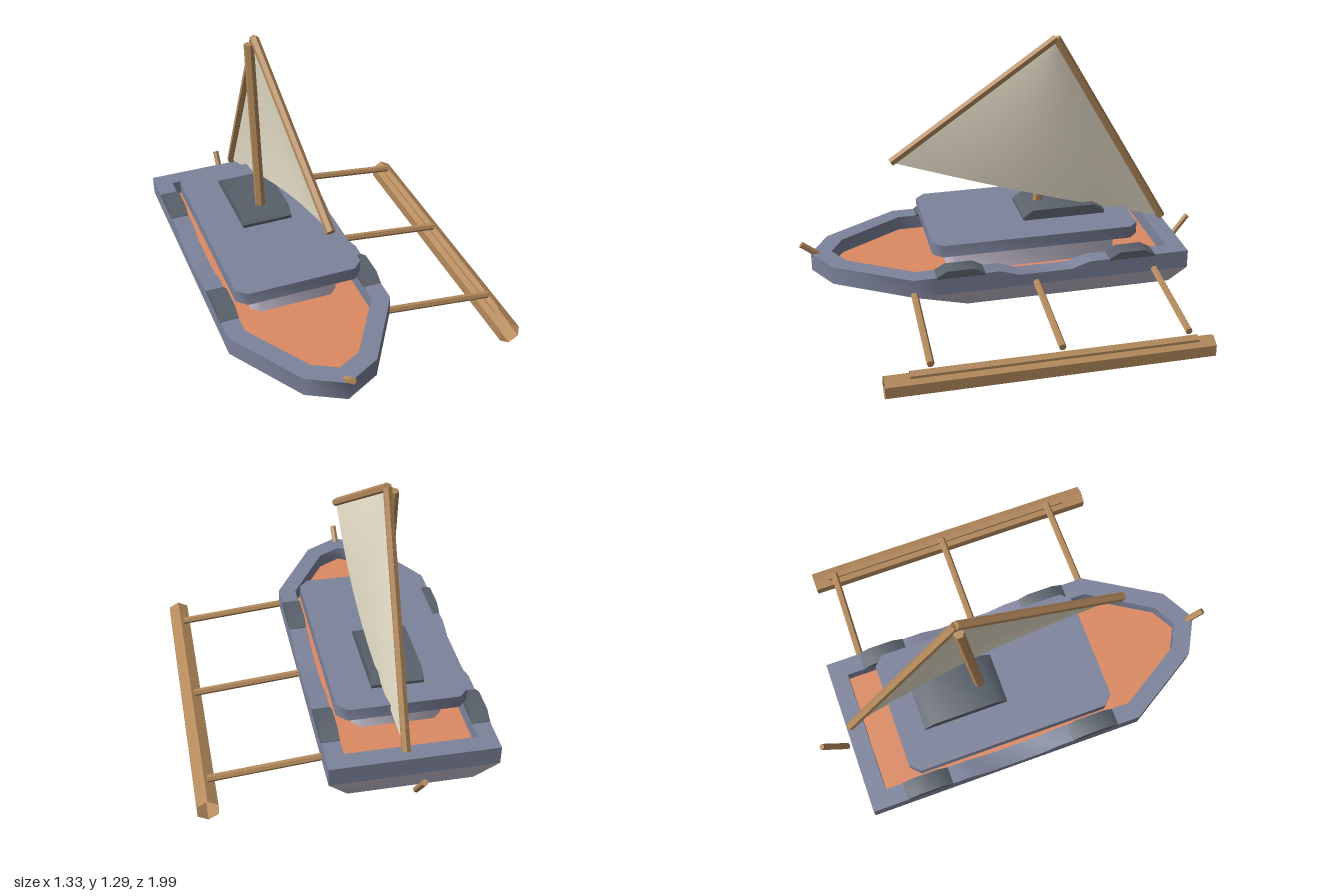
import * as THREE from 'three';
import { toCreasedNormals } from 'three/addons/utils/BufferGeometryUtils.js';

const mat = (name, color, extra = {}) => {
  const m = new THREE.MeshStandardMaterial({ color, ...extra });
  m.name = name;
  return m;
};

export function createModel() {
  const model = new THREE.Group();
  const CX = -0.284; // centre line of the boat
  const blue = mat('slate blue paint', 0x7d839b);
  const dark = mat('dark slate', 0x5a616b);
  const lavender = mat('pale lavender', 0xccc5d7);
  const orange = mat('orange deck', 0xdc8a62);
  const wood = mat('wood', 0xb48a5c, { flatShading: true, side: THREE.DoubleSide });
  const canvas = mat('sail canvas', 0xebe3cd, { side: THREE.DoubleSide });

  const add = (name, geo, material, x = 0) => {
    const mesh = new THREE.Mesh(geo, material);
    mesh.name = name;
    mesh.position.x = x;
    model.add(mesh);
    return mesh;
  };

  // Skin between successive closed loops of [x, y, z] points, soft around the bow
  const loft = (loops) => {
    const pos = [];
    for (let k = 0; k + 1 < loops.length; k++) {
      const lo = loops[k], hi = loops[k + 1], n = lo.length;
      for (let i = 0; i < n; i++) {
        const j = (i + 1) % n;
        pos.push(...lo[i], ...hi[i], ...hi[j], ...lo[i], ...hi[j], ...lo[j]);
      }
    }
    const g = new THREE.BufferGeometry();
    g.setAttribute('position', new THREE.Float32BufferAttribute(pos, 3));
    return toCreasedNormals(g, 1.05);
  };

  // Boat plan: one side from stern to bow, then mirrored back to the stern
  const mirror = (side) => [
    ...side,
    ...side.slice(0, -1).reverse().map(([x, y, z]) => [-x, y, z]),
  ];
  // Gunwale heights along the straight side: [z, y]
  const sheer = [[-0.68, 0.27], [-0.45, 0.27], [-0.35, 0.27], [-0.26, 0.24], [0, 0.24], [0.085, 0.27], [0.385, 0.27]];
  const plan = (hw, stern, shoulder, cheekX, cheekZ, bow) => mirror([
    [hw, 0.27, stern],
    ...sheer.map(([z, y]) => [hw, y, z]),
    [hw, 0.27, shoulder], [cheekX, 0.27, cheekZ], [0, 0.27, bow],
  ]);
  const outer = plan(0.382, -0.845, 0.5, 0.165, 0.855, 0.945);
  const inner = plan(0.299, -0.76, 0.48, 0.11, 0.785, 0.845);
  const atY = (loop, y) => loop.map(([x, , z]) => [x, y, z]);
  const flatX = (loop) => loop.map(([, y, z]) => [0, y, z]);

  // Lower hull, tapering to a flat bottom
  const level = (hw, y, stern, bow) => outer.map(([x, , z]) =>
    [x * hw / 0.382, y, stern + (z + 0.845) / 1.79 * (bow - stern)]);
  const bottom = level(0.175, 0, -0.72, 0.39);
  add('lowerHull', loft([flatX(bottom), bottom, level(0.287, 0.06, -0.79, 0.57), level(0.382, 0.18, -0.845, 0.945)]), lavender, CX);

  // Bulwark band with its rim and inner wall, and the deck inside it
  add('bulwark', loft([atY(outer, 0.18), outer, inner, atY(inner, 0.2)]), blue, CX);
  add('deck', loft([atY(inner, 0.2), flatX(atY(inner, 0.2))]), orange, CX);

  // Straight extrusion with soft shading over shallow bends
  const extrude = (pts, depth) => toCreasedNormals(new THREE.ExtrudeGeometry(
    new THREE.Shape(pts.map(p => new THREE.Vector2(...p))), { depth, bevelEnabled: false }), 0.9);

  // Block with a side profile in (z, y) and a width along x
  const profileBlock = (pts, width) =>
    extrude(pts, width).rotateY(-Math.PI / 2).translate(width / 2, 0, 0);
  for (const side of [-1, 1]) {
    for (const [back, front] of [[-0.675, -0.45], [0.16, 0.39]]) {
      add('gunwalePad', profileBlock([[back, 0.262], [front, 0.262], [front, 0.272],
        [front - 0.05, 0.3], [back + 0.05, 0.3], [back, 0.272]], 0.084), dark, CX + side * 0.341);
    }
  }

  // Slab with cut corners
  const slab = (hw, z0, z1, y0, y1, c) => extrude([
    [hw, z0 + c], [hw, z1 - c], [hw - c, z1], [c - hw, z1],
    [-hw, z1 - c], [-hw, z0 + c], [c - hw, z0], [hw - c, z0],
  ], y1 - y0).rotateX(Math.PI / 2).translate(0, y1, 0);
  add('cabinWalls', slab(0.21, -0.53, 0.305, 0.19, 0.335, 0.04), lavender, CX);
  add('cabinRoof', slab(0.298, -0.62, 0.39, 0.33, 0.39, 0.045), blue, CX);
  add('roofHatch', profileBlock([[-0.495, 0.385], [-0.085, 0.385], [-0.085, 0.405],
    [-0.135, 0.44], [-0.445, 0.44], [-0.495, 0.405]], 0.242), dark, CX);

  // Six-sided pole between two points
  const pole = (name, a, b, r, open = false) => {
    const p = new THREE.Vector3(...a), q = new THREE.Vector3(...b);
    const mesh = add(name, new THREE.CylinderGeometry(r, r, p.distanceTo(q), 6, 1, open), wood);
    mesh.quaternion.setFromUnitVectors(new THREE.Vector3(0, 1, 0), q.clone().sub(p).normalize());
    mesh.position.copy(p.add(q).multiplyScalar(0.5));
    return mesh;
  };

  // Mast and the two spars
  const apex = [-0.26, 1.275, -0.262], tack = [-0.243, 0.3, -0.825], peak = [-0.208, 0.742, 0.545];
  pole('mast', [-0.288, 0.4, -0.18], [-0.288, 1.255, -0.26], 0.024);
  pole('upperSpar', apex, peak, 0.021);
  pole('lowerSpar', apex, tack, 0.021);

  // Sail: a triangle bellied out to one side
  const A = new THREE.Vector3(...apex), P = new THREE.Vector3(...peak), T = new THREE.Vector3(...tack);
  const sail = new THREE.PlaneGeometry(1, 1, 10, 10);
  const sp = sail.attributes.position;
  for (let i = 0; i < sp.count; i++) {
    const u = sp.getX(i) + 0.5, v = 0.5 - sp.getY(i);
    const pt = A.clone().lerp(P.clone().lerp(T, u), v);
    pt.x += 0.042 * Math.sin(Math.PI * u) * Math.sin(v * Math.PI * 0.6);
    sp.setXYZ(i, pt.x, pt.y, pt.z);
  }
  sail.computeVertexNormals();
  add('sail', sail, canvas);

  // Outrigger float: open tubes, with three struts
  pole('outriggerFloat', [0.613, 0.06, -0.78], [0.613, 0.06, 0.71], 0.054, true);
  pole('floatTopRail', [0.613, 0.1, -0.705], [0.613, 0.1, 0.597], 0.026, true);
  for (const z of [-0.672, -0.085, 0.5]) {
    pole('outriggerStrut', [0.06, 0.195, z - 0.004], [0.6, 0.14, z + 0.004], 0.017);
  }

  // Short bow post and steering pole
  pole('bowPost', [CX, 0.262, 0.912], [CX, 0.322, 0.988], 0.016);
  pole('steeringPole', [CX, 0.115, -0.872], [CX, 0.265, -0.985], 0.015);

  return model;
}
